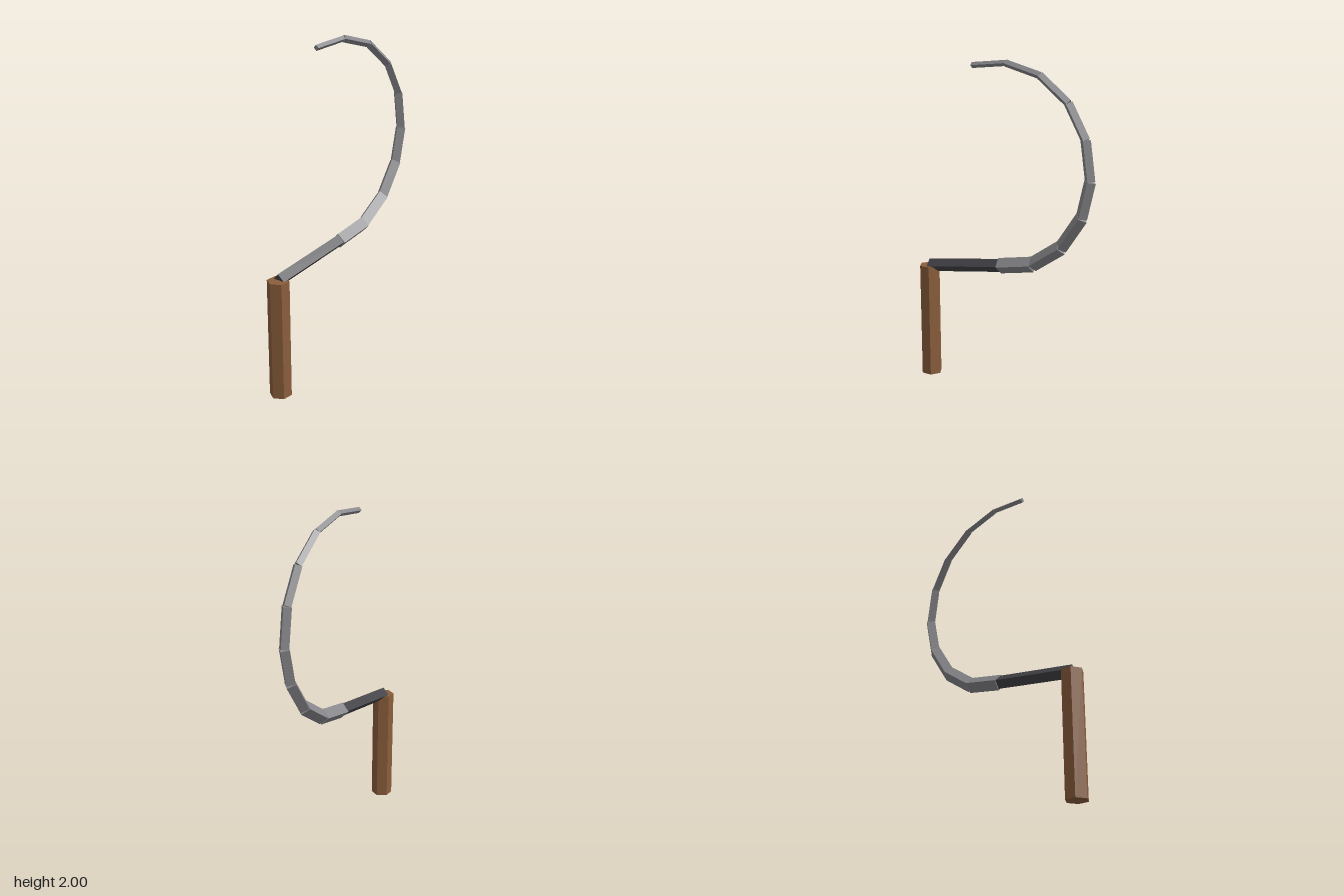
import * as THREE from 'three';

const mat = (color) => new THREE.MeshStandardMaterial({ color, flatShading: true });

// Straight diamond-section bar between two [z, y] points in the x = 0 plane
function bar(name, a, b, radius, material) {
  const start = new THREE.Vector3(0, a[1], a[0]);
  const end = new THREE.Vector3(0, b[1], b[0]);
  const dir = end.clone().sub(start);
  const mesh = new THREE.Mesh(new THREE.CylinderGeometry(radius, radius, dir.length(), 4), material);
  mesh.position.copy(start).add(end).multiplyScalar(0.5);
  mesh.quaternion.setFromUnitVectors(new THREE.Vector3(0, 1, 0), dir.normalize());
  mesh.name = name;
  return mesh;
}

export function createModel() {
  const model = new THREE.Group();
  model.name = 'sickle';

  // Hexagonal wooden grip
  const handle = new THREE.Mesh(new THREE.CylinderGeometry(0.065, 0.065, 0.715, 6), mat(0x8b5e3c));
  handle.position.set(0, 0.3575, 0.54);
  handle.name = 'handle';
  model.add(handle);

  // Dark shank joining grip and blade
  model.add(bar('shank', [0.535, 0.714], [0.0, 0.8], 0.04, mat(0x444448)));

  // Hooked blade: straight segments, each thinner than the last
  const joints = [
    [0.02, 0.795], [-0.205, 0.84], [-0.393, 0.97], [-0.52, 1.16], [-0.568, 1.37],
    [-0.535, 1.593], [-0.425, 1.785], [-0.243, 1.925], [-0.02, 1.982], [0.207, 1.96],
  ];
  const blade = new THREE.Group();
  blade.name = 'blade';
  const steel = mat(0x88888c);
  for (let i = 0; i < joints.length - 1; i++) {
    blade.add(bar(`bladeSegment${i + 1}`, joints[i], joints[i + 1], 0.047 - i * 0.00375, steel));
  }
  model.add(blade);
  return model;
}
